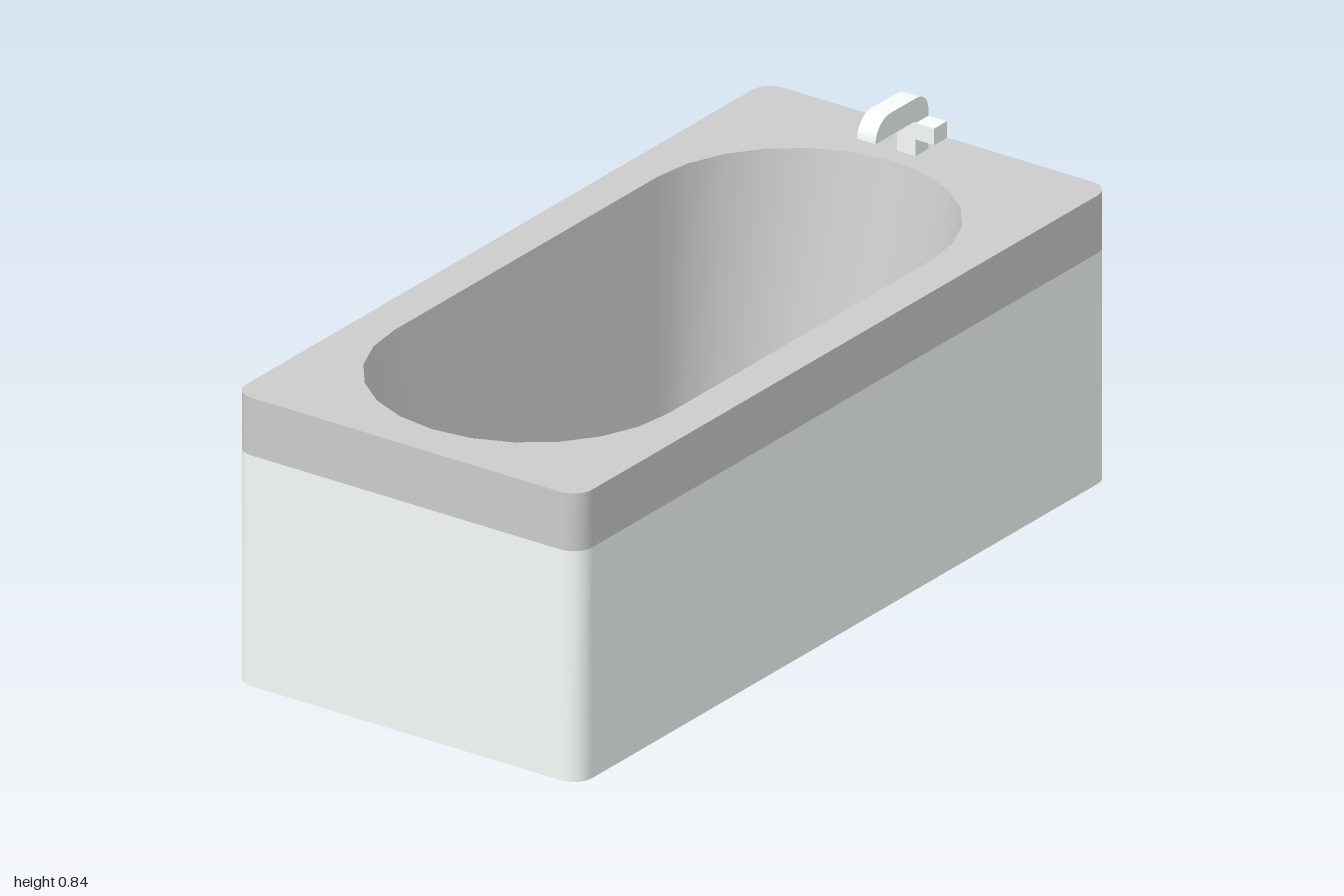
import * as THREE from 'three';
import { toCreasedNormals } from 'three/addons/utils/BufferGeometryUtils.js';

const mat = (color) => new THREE.MeshStandardMaterial({ color });
const grey = mat(0xcccccc), white = mat(0xf6fcf9), drainMat = mat(0x9badad);

// Closed rounded rectangle outline as Vector2(x, z)
function outline(cx, hx, hz, r, seg) {
  const pts = [];
  [[1, 1], [-1, 1], [-1, -1], [1, -1]].forEach(([sx, sz], q) => {
    for (let i = 0; i <= seg; i++) {
      const a = (q + i / seg) * Math.PI / 2;
      pts.push(new THREE.Vector2(
        cx + sx * (hx - r) + r * Math.cos(a), sz * (hz - r) + r * Math.sin(a)));
    }
  });
  return pts.filter((p, i) => p.distanceTo(pts[(i + 1) % pts.length]) > 1e-5);
}

// Smooth wall between two outlines; faces outward going up, inward going down
function wall(from, y0, to, y1) {
  const n = from.length, pos = [], idx = [];
  from.forEach((p) => pos.push(p.x, y0, p.y));
  to.forEach((p) => pos.push(p.x, y1, p.y));
  for (let i = 0; i < n; i++) {
    const j = (i + 1) % n;
    idx.push(i, n + i, j, j, n + i, n + j);
  }
  const g = new THREE.BufferGeometry();
  g.setAttribute('position', new THREE.Float32BufferAttribute(pos, 3));
  g.setIndex(idx);
  g.computeVertexNormals();
  return g;
}

// Flat horizontal face, optionally with a hole
function plate(pts, y, up, hole) {
  const shape = new THREE.Shape(pts);
  if (hole) shape.holes.push(new THREE.Path(hole));
  return new THREE.ShapeGeometry(shape).rotateX(up ? -Math.PI / 2 : Math.PI / 2).translate(0, y, 0);
}

export function createModel() {
  const model = new THREE.Group();
  const add = (parent, name, geometry, material) => {
    const m = new THREE.Mesh(geometry, material);
    m.name = name;
    parent.add(m);
    return m;
  };
  const group = (name) => {
    const g = new THREE.Group();
    g.name = name;
    model.add(g);
    return g;
  };
  const H = 0.7, RIM = 0.56, FLOOR = 0.12;
  const outer = outline(0, 1, 0.47, 0.05, 6);
  const mouth = outline(-0.035, 0.865, 0.372, 0.372, 6);
  const base = outline(-0.035, 0.735, 0.316, 0.316, 6);

  // Lower surround
  const surround = group('surround');
  add(surround, 'sidePanels', wall(outer, 0, outer, RIM), white);
  add(surround, 'underside', plate(outer, 0, false), white);

  // Rim band and top deck
  const rim = group('rim');
  add(rim, 'rimBand', wall(outer, RIM, outer, H), grey);
  add(rim, 'rimTop', plate(outer, H, true, mouth), grey);

  // Tapered basin
  const basin = group('basin');
  add(basin, 'basinWall', wall(mouth, H, base, FLOOR), grey);
  add(basin, 'basinFloor', plate(base, FLOOR, true), grey);
  add(basin, 'drain', new THREE.CylinderGeometry(0.05, 0.05, 0.008, 24), drainMat)
    .position.set(-0.46, FLOOR + 0.004, 0);

  // Tap: stem, cross handle and curved spout
  const tap = group('tap');
  add(tap, 'tapStem', new THREE.BoxGeometry(0.05, 0.085, 0.05), white).position.set(0.905, 0.7425, 0);
  add(tap, 'tapHandle', new THREE.BoxGeometry(0.048, 0.04, 0.15), white).position.set(0.905, 0.76, 0);

  const s = new THREE.Shape();
  s.moveTo(0.73, 0.785);
  s.lineTo(0.93, 0.785);
  s.bezierCurveTo(0.93, 0.82, 0.915, 0.84, 0.88, 0.84);
  s.lineTo(0.785, 0.84);
  s.bezierCurveTo(0.755, 0.84, 0.73, 0.815, 0.73, 0.785);
  const spout = new THREE.ExtrudeGeometry(s, { depth: 0.05, bevelEnabled: false, curveSegments: 8 });
  add(tap, 'tapSpout', toCreasedNormals(spout.translate(0, 0, -0.025), 0.6), white);

  return model;
}
